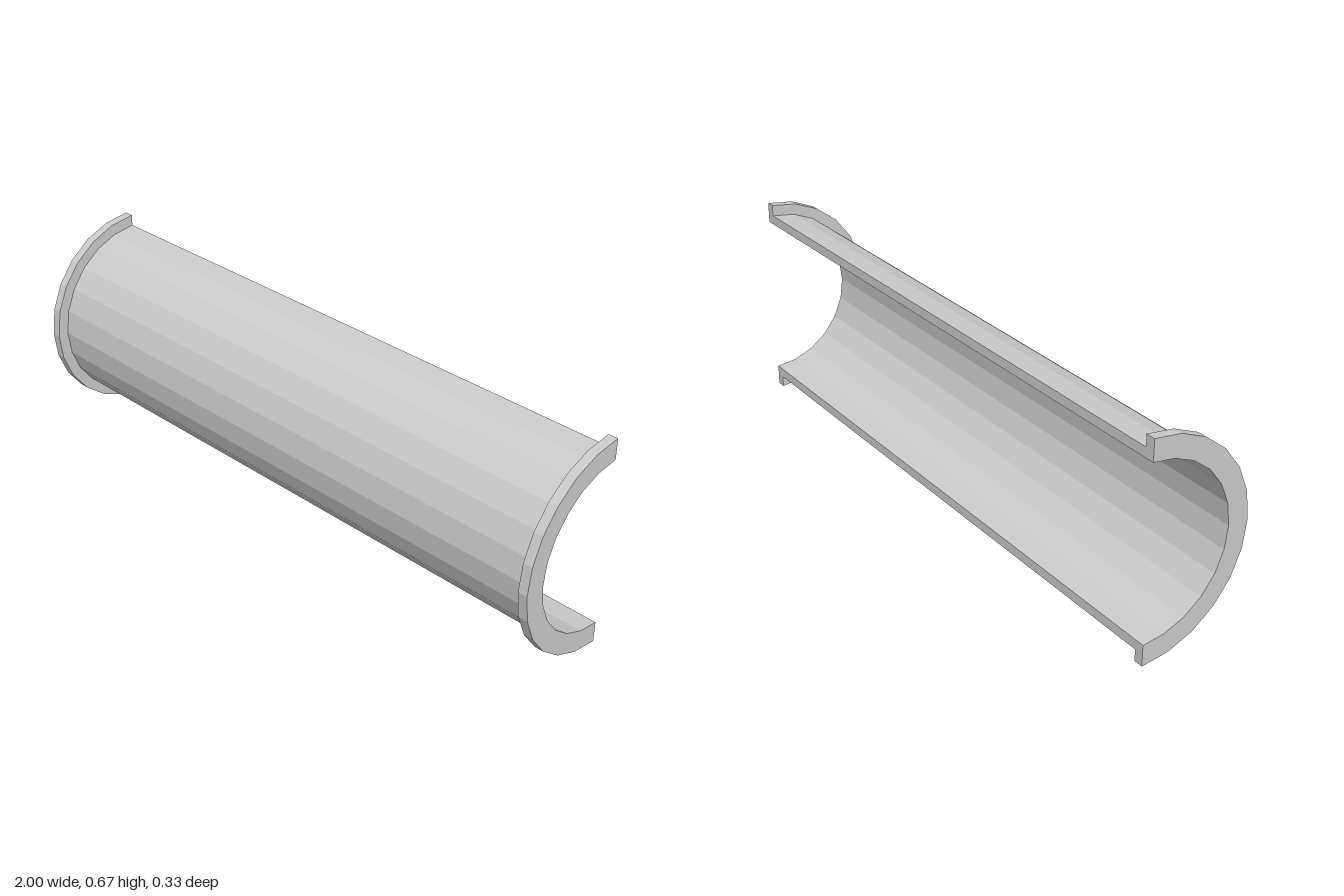
import * as THREE from 'three';

const INNER = 0.267, TUBE = 0.297, FLANGE = 0.333; // radii
const HALF = 1, LIP = 0.03; // half length, flange thickness
const SEGMENTS = 12;

export function createModel() {
  const group = new THREE.Group();
  group.name = 'halfPipe';
  const material = new THREE.MeshStandardMaterial({ color: 0xcccccc, flatShading: true });

  // Wall cross-section (radius, position along the axis), counter-clockwise
  const profile = [
    [INNER, -HALF], [FLANGE, -HALF], [FLANGE, -HALF + LIP], [TUBE, -HALF + LIP],
    [TUBE, HALF - LIP], [FLANGE, HALF - LIP], [FLANGE, HALF], [INNER, HALF],
  ].map(([r, a]) => new THREE.Vector2(r, a));

  const addPart = (name, geometry) => {
    geometry.rotateZ(-Math.PI / 2); // lay the axis along x
    geometry.translate(0, FLANGE, -FLANGE / 2);
    const mesh = new THREE.Mesh(geometry, material);
    mesh.name = name;
    group.add(mesh);
  };

  // Half-round shell with a flange at each end
  addPart('flangedShell',
    new THREE.LatheGeometry([...profile, profile[0]], SEGMENTS, -Math.PI / 2, Math.PI));

  // Flat cut edges along the open back, both facing -z
  const section = new THREE.Shape(profile);
  addPart('topCutEdge', new THREE.ShapeGeometry(section).rotateY(Math.PI));
  addPart('bottomCutEdge', new THREE.ShapeGeometry(section).rotateX(Math.PI));

  return group;
}
